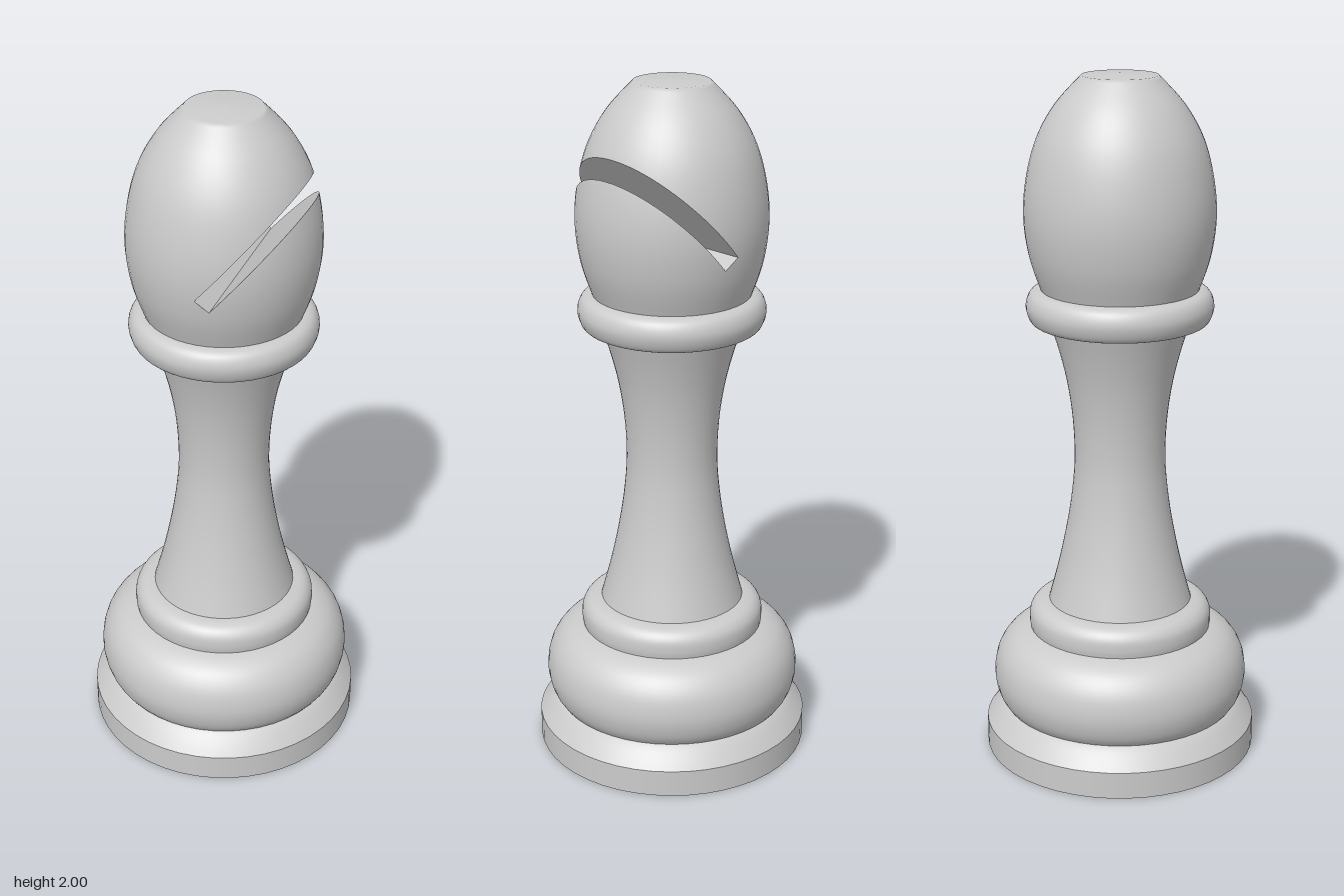
import * as THREE from 'three';

const SEGMENTS = 48;
const material = new THREE.MeshStandardMaterial({ color: 0xcccccc });

const toPoints = (pairs) => pairs.map(([r, y]) => new THREE.Vector2(r, y));
const smooth = (pairs, n = 20) => new THREE.SplineCurve(toPoints(pairs)).getPoints(n);

function addMesh(group, name, geometry) {
  const mesh = new THREE.Mesh(geometry, material);
  mesh.name = name;
  group.add(mesh);
}

// Turned part; profile runs from bottom to top
const turn = (points) => new THREE.LatheGeometry(points, SEGMENTS);

// Head profile: an egg with a flat tip
const headProfile = [
  ...smooth([[0.222, 1.39], [0.255, 1.49], [0.27, 1.6], [0.262, 1.71], [0.233, 1.82], [0.18, 1.915], [0.107, 1.995]], 36),
  new THREE.Vector2(0, 2),
];

function headRadius(y) {
  const i = headProfile.findIndex((p) => p.y >= y);
  const a = headProfile[i - 1], b = headProfile[i];
  return THREE.MathUtils.lerp(a.x, b.x, (y - a.y) / (b.y - a.y));
}

// Slanted slot: corner, direction along it, direction across it
const corner = new THREE.Vector2(0.05, 1.525);
const along = new THREE.Vector2(0.65, 0.76).normalize();
const across = new THREE.Vector2(-along.y, along.x);
const slotWidth = 0.05;

const slotPoint = (s, t) => corner.clone().addScaledVector(along, s).addScaledVector(across, t);
const distance = (p, axis) => (p.x - corner.x) * axis.x + (p.y - corner.y) * axis.y;

// Positive inside the slot
const slotSides = [
  (p) => distance(p, along),
  (p) => distance(p, across),
  (p) => slotWidth - distance(p, across),
];

// Part of a polygon where sign * side >= 0
function clip(polygon, side, sign) {
  const out = [];
  polygon.forEach((a, i) => {
    const b = polygon[(i + 1) % polygon.length];
    const da = sign * side(a.p), db = sign * side(b.p);
    if (da >= 0) out.push(a);
    if ((da >= 0) !== (db >= 0)) {
      const k = da / (da - db);
      out.push({ p: a.p.clone().lerp(b.p, k), n: a.n.clone().lerp(b.n, k).normalize() });
    }
  });
  return out;
}

// Head skin with the slot removed
function slottedHead() {
  const source = turn(headProfile).toNonIndexed();
  const { position, normal } = source.attributes;
  const positions = [], normals = [];
  const emit = (polygon) => {
    for (let i = 1; i + 1 < polygon.length; i++) {
      for (const v of [polygon[0], polygon[i], polygon[i + 1]]) {
        positions.push(...v.p.toArray());
        normals.push(...v.n.toArray());
      }
    }
  };
  for (let i = 0; i < position.count; i += 3) {
    let rest = [0, 1, 2].map((j) => ({
      p: new THREE.Vector3().fromBufferAttribute(position, i + j),
      n: new THREE.Vector3().fromBufferAttribute(normal, i + j),
    }));
    if (!rest.every((v) => v.p.y > 1.4 && v.p.y < 1.95)) {
      emit(rest);
      continue;
    }
    for (const side of slotSides) {
      emit(clip(rest, side, -1));
      rest = clip(rest, side, 1);
    }
  }
  const geometry = new THREE.BufferGeometry();
  geometry.setAttribute('position', new THREE.Float32BufferAttribute(positions, 3));
  geometry.setAttribute('normal', new THREE.Float32BufferAttribute(normals, 3));
  return geometry;
}

// Slot walls: lower face, end face and upper face in one strip
function slotWalls() {
  const gap = (p) => headRadius(p.y) - Math.abs(p.x);
  const exit = (t) => {
    let low = 0, high = 0.45;
    for (let i = 0; i < 30; i++) {
      const mid = (low + high) / 2;
      if (gap(slotPoint(mid, t)) > 0) low = mid;
      else high = mid;
    }
    return low;
  };
  const steps = 24;
  const run = (t) => Array.from({ length: steps + 1 },
    (_, i) => slotPoint(exit(t) * Math.sin((Math.PI / 2) * (i / steps)), t));
  const path = [...run(0).reverse(), ...run(slotWidth)];
  const rim = path.map((p) => {
    const r = headRadius(p.y);
    const z = Math.sqrt(Math.max(0, r * r - p.x * p.x));
    return [[p.x, p.y, -z], [p.x, p.y, z]];
  });
  const positions = [];
  for (let i = 0; i + 1 < rim.length; i++) {
    const [a, d] = rim[i], [b, c] = rim[i + 1];
    positions.push(...a, ...b, ...c, ...a, ...c, ...d);
  }
  const geometry = new THREE.BufferGeometry();
  geometry.setAttribute('position', new THREE.Float32BufferAttribute(positions, 3));
  geometry.computeVertexNormals();
  return geometry;
}

export function createModel() {
  const group = new THREE.Group();
  group.name = 'chessBishop';

  // Foot with a small recess underneath
  addMesh(group, 'recess', turn(toPoints([[0, 0.04], [0.085, 0.04], [0.1, 0]])));
  addMesh(group, 'underside', turn(toPoints([[0.1, 0], [0.4, 0]])));
  addMesh(group, 'footRim', turn(toPoints([[0.4, 0], [0.4, 0.08]])));
  addMesh(group, 'footBevel', turn(smooth([[0.4, 0.08], [0.378, 0.107], [0.35, 0.135], [0.32, 0.15]], 8)));

  // Rounded body and the collar above it
  addMesh(group, 'bulge', turn(smooth([
    [0.335, 0.125], [0.362, 0.165], [0.375, 0.225], [0.365, 0.29], [0.335, 0.338], [0.295, 0.365], [0.25, 0.378],
  ], 28)));
  addMesh(group, 'lowerCollar', turn(smooth([
    [0.266, 0.372], [0.269, 0.395], [0.266, 0.425], [0.25, 0.447], [0.225, 0.457], [0.19, 0.46],
  ], 20)));

  // Waisted stem
  addMesh(group, 'stem', turn(smooth([
    [0.212, 0.45], [0.178, 0.58], [0.15, 0.72], [0.135, 0.84], [0.132, 0.93],
    [0.138, 1.03], [0.153, 1.13], [0.175, 1.22], [0.2, 1.3],
  ], 32)));

  // Ring below the head
  addMesh(group, 'ringUnderside', turn(toPoints([[0.18, 1.298], [0.23, 1.298]])));
  addMesh(group, 'ring', turn(smooth([
    [0.23, 1.298], [0.254, 1.308], [0.267, 1.345], [0.26, 1.378], [0.24, 1.396], [0.2, 1.402],
  ], 24)));

  // Head with its slanted slot
  addMesh(group, 'head', slottedHead());
  addMesh(group, 'slotWalls', slotWalls());

  return group;
}
